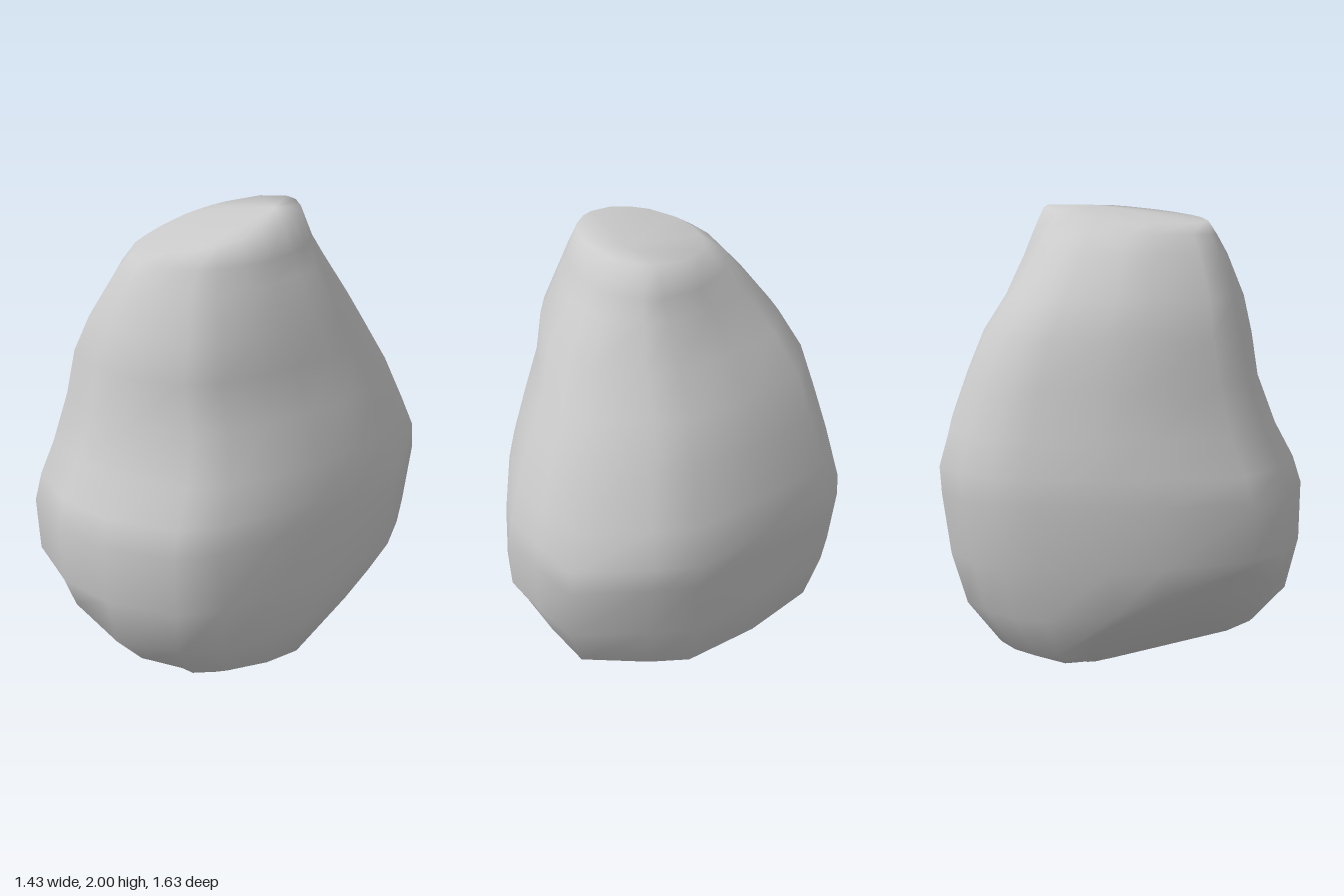
import * as THREE from 'three';

// Widest horizontal outline of the boulder [x, z], running back, left, front, right
const OUTLINE = [
  [0.04, -0.82], [0.22, -0.8], [0.54, -0.75], [0.64, -0.55], [0.72, -0.36], [0.71, -0.15],
  [0.67, 0.1], [0.62, 0.3], [0.54, 0.53], [0.43, 0.68], [0.16, 0.8], [-0.09, 0.81],
  [-0.33, 0.73], [-0.5, 0.41], [-0.61, 0.23], [-0.7, -0.05], [-0.72, -0.2], [-0.69, -0.36],
  [-0.61, -0.5], [-0.28, -0.66],
];

// Cross-sections: [y, xMin, xMax, zMin, zMax, roundness]
const LEVELS = [
  [0.0, -0.09, 0.03, -0.24, 0.0, 1],
  [0.11, -0.4, 0.45, -0.39, 0.51, 0.6],
  [0.21, -0.6, 0.61, -0.52, 0.61, 0.5],
  [0.38, -0.66, 0.67, -0.71, 0.76, 0.35],
  [0.6, -0.71, 0.72, -0.77, 0.81, 0.12],
  [0.85, -0.72, 0.71, -0.805, 0.815, 0],
  [0.96, -0.71, 0.7, -0.815, 0.78, 0.05],
  [1.1, -0.675, 0.67, -0.765, 0.71, 0.15],
  [1.3, -0.615, 0.61, -0.68, 0.64, 0.2],
  [1.48, -0.56, 0.535, -0.59, 0.6, 0.25],
  [1.63, -0.47, 0.5, -0.49, 0.555, 0.35],
  [1.8, -0.33, 0.41, -0.41, 0.48, 0.6],
  [1.88, -0.25, 0.37, -0.38, 0.43, 0.85],
  [2.0, -0.16, 0.32, -0.34, 0.39, 1],
];

// Sloping facets that trim the underside and the crown
const underside = (x, z) => Math.max(
  -0.3 * (x + 0.07) + 0.39 * (z + 0.05),
  -0.24 - 0.76 * x + 0.85 * z,
  -0.53 + 1.35 * x - 0.4 * z,
);
const crown = (x, z) => 1.96 + 0.09 * x - 0.1 * z;

// Shallow hollow above the belly on the front left
const hollow = (y, u, v) =>
  1 - 0.06 * Math.exp(-(((y - 1.25) / 0.18) ** 2)) * Math.max(0, 0.7 * u + 0.7 * v) ** 4;

// Point of a cross-section: the outline fitted to the level's bounds, partly rounded to an oval
function ringPoint([y, x0, x1, z0, z1, round], [px, pz]) {
  const u = px / 0.72, v = pz / 0.815, r = Math.hypot(u, v);
  const k = (1 + (1 / r - 1) * round) * hollow(y, u, v);
  const x = (x0 + x1) / 2 + u * k * (x1 - x0) / 2;
  const z = (z0 + z1) / 2 + v * k * (z1 - z0) / 2;
  return [x, Math.min(Math.max(y, underside(x, z)), crown(x, z)), z];
}

function boulderGeometry() {
  const n = OUTLINE.length, rows = LEVELS.length;
  const positions = [], index = [];
  for (const level of LEVELS) for (const p of OUTLINE) positions.push(...ringPoint(level, p));

  // Side faces
  for (let i = 0; i < rows - 1; i++) {
    for (let j = 0; j < n; j++) {
      const a = i * n + j, b = i * n + (j + 1) % n;
      index.push(a, a + n, b, b, a + n, b + n);
    }
  }

  // Bottom and top caps
  const bottom = positions.length / 3, top = bottom + 1, last = (rows - 1) * n;
  positions.push(-0.03, 0, -0.12, 0.17, 2, -0.17);
  for (let j = 0; j < n; j++) {
    const k = (j + 1) % n;
    index.push(bottom, j, k, top, last + k, last + j);
  }

  const geometry = new THREE.BufferGeometry();
  geometry.setAttribute('position', new THREE.Float32BufferAttribute(positions, 3));
  geometry.setIndex(index);
  geometry.computeVertexNormals();
  return geometry;
}

export function createModel() {
  const group = new THREE.Group();
  group.name = 'rock';
  const boulder = new THREE.Mesh(boulderGeometry(), new THREE.MeshStandardMaterial({ color: 0xcccccc }));
  boulder.name = 'boulder';
  group.add(boulder);
  return group;
}
